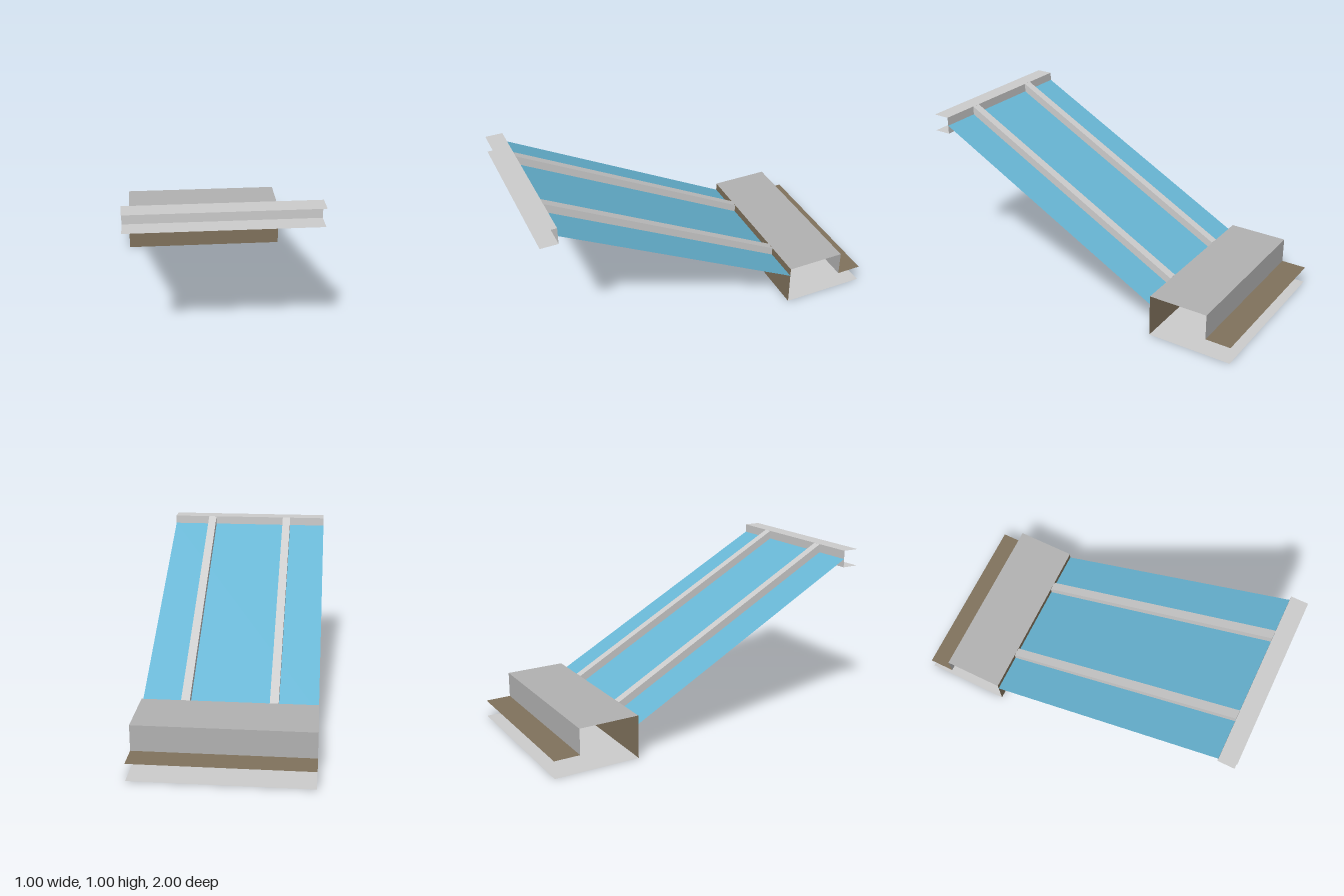
import * as THREE from 'three';

const WIDTH = 1;

function material(name, color) {
  const m = new THREE.MeshStandardMaterial({ color, side: THREE.DoubleSide });
  m.name = name;
  return m;
}

// Thin sheet spanning the full width between two [z, y] points
function sheet(name, [z0, y0], [z1, y1], mat) {
  const dz = z1 - z0, dy = y1 - y0;
  const mesh = new THREE.Mesh(new THREE.PlaneGeometry(WIDTH, Math.hypot(dz, dy)), mat);
  mesh.name = name;
  mesh.position.set(0, (y0 + y1) / 2, (z0 + z1) / 2);
  mesh.rotation.x = Math.atan2(dz, dy);
  return mesh;
}

export function createModel() {
  const model = new THREE.Group();
  model.name = 'glazedCanopy';
  const lightMetal = material('light metal', 0xcccccc);
  const greyMetal = material('grey metal', 0xb2b2b2);
  const brown = material('brown', 0x80725c);
  const glass = material('blue glass', 0x68b6d4);

  // Sloping glass, running through the middle of the rafters
  model.add(sheet('glassPane', [-0.5, 0.2], [0.9, 0.95], glass));

  // Two sloping rafters with vertical ends, just clear of the sheets they meet
  const section = new THREE.Shape([
    [-0.499, 0.15], [0.899, 0.9], [0.899, 1], [-0.499, 0.25],
  ].map(([z, y]) => new THREE.Vector2(z, y)));
  const rafterGeometry = new THREE.ExtrudeGeometry(section, { depth: 0.05, bevelEnabled: false });
  for (const side of [1, -1]) {
    const rafter = new THREE.Mesh(rafterGeometry, lightMetal);
    rafter.name = side > 0 ? 'rafterLeft' : 'rafterRight';
    rafter.rotation.y = -Math.PI / 2;
    rafter.position.x = side * 0.25 + 0.025;
    model.add(rafter);
  }

  // Front channel, open towards the front
  const channel = new THREE.Group();
  channel.name = 'frontChannel';
  channel.add(
    sheet('channelWeb', [0.9, 0.9], [0.9, 1], lightMetal),
    sheet('channelTopFlange', [1, 1], [0.9, 1], lightMetal),
    sheet('channelBottomFlange', [1, 0.9], [0.9, 0.9], lightMetal),
  );
  model.add(channel);

  // Rear gutter housing, with open ends and a slot at the back
  const housing = new THREE.Group();
  housing.name = 'rearHousing';
  housing.add(
    sheet('housingFloor', [-0.5, 0], [-1, 0], lightMetal),
    sheet('housingFront', [-0.5, 0], [-0.5, 0.25], brown),
    sheet('housingTop', [-0.5, 0.25], [-0.85, 0.25], greyMetal),
    sheet('housingBack', [-0.85, 0.25], [-0.85, 0.1], greyMetal),
    sheet('housingLip', [-0.85, 0.1], [-1, 0.1], brown),
  );
  model.add(housing);

  return model;
}
